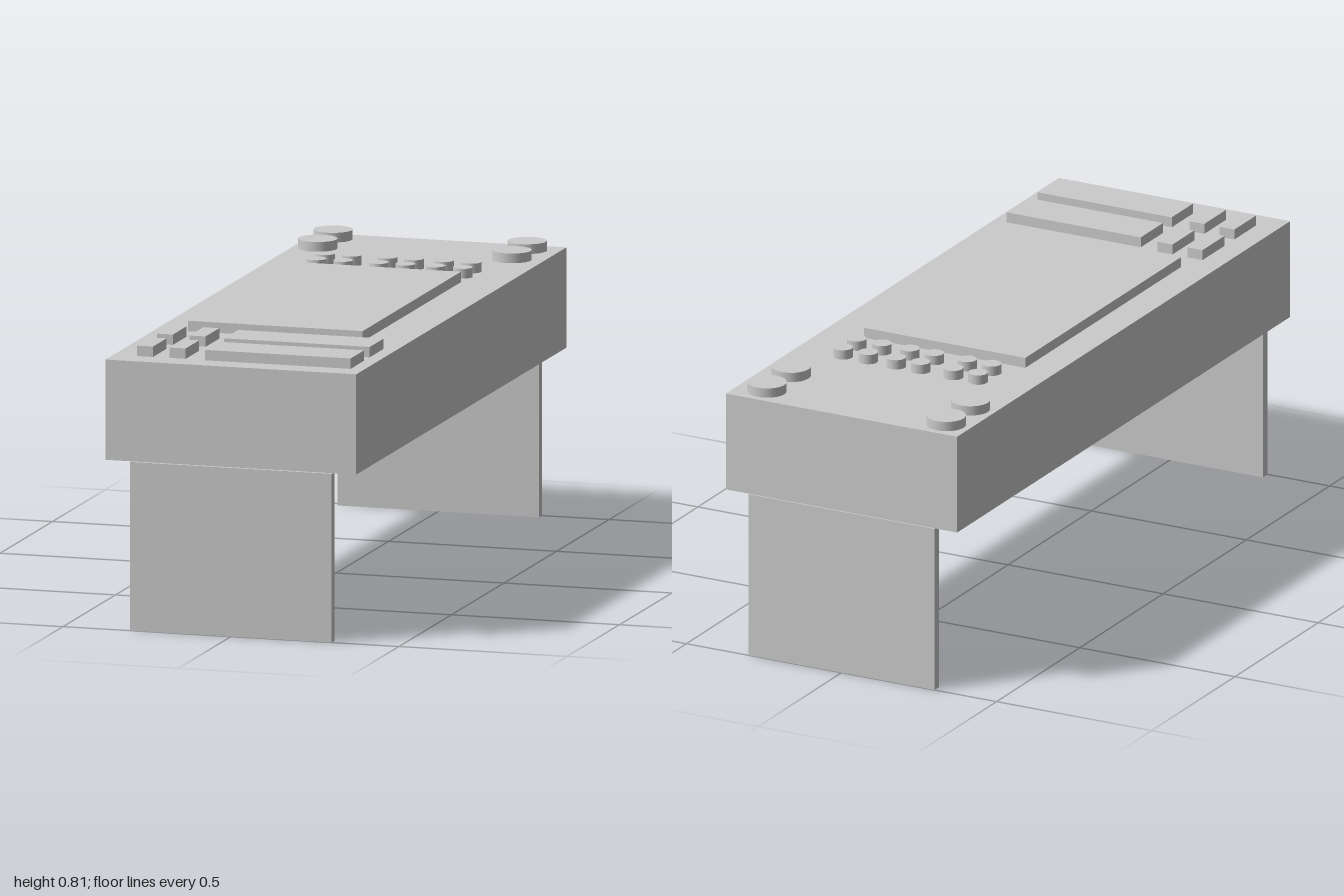
import * as THREE from 'three';

export function createModel() {
  const model = new THREE.Group();
  const material = new THREE.MeshStandardMaterial({ color: 0xcccccc, flatShading: true });
  const smooth = new THREE.MeshStandardMaterial({ color: 0xcccccc });
  const deck = 0.78;

  // Box given by its extents on each axis
  function box(name, [x0, x1], [y0, y1], [z0, z1]) {
    const mesh = new THREE.Mesh(new THREE.BoxGeometry(x1 - x0, y1 - y0, z1 - z0), material);
    mesh.position.set((x0 + x1) / 2, (y0 + y1) / 2, (z0 + z1) / 2);
    mesh.name = name;
    model.add(mesh);
  }

  // Round control standing on the deck
  function disc(name, x, z, radius, height) {
    const mesh = new THREE.Mesh(new THREE.CylinderGeometry(radius, radius, height, 32), smooth);
    mesh.position.set(x, deck + height / 2, z);
    mesh.name = name;
    model.add(mesh);
  }

  // Body and the two end legs
  box('body', [-0.373, 0.373], [0.49, deck], [-1, 1]);
  box('frontLeg', [-0.3, 0.3], [0, 0.488], [0.972, 1]);
  box('backLeg', [-0.3, 0.3], [0, 0.488], [-1, -0.972]);

  // Large raised panel
  box('topPanel', [-0.277, 0.243], [deck, 0.81], [-0.412, 0.523]);

  // Wide bars and small keys near the front
  const top = [deck, 0.81];
  box('wideBar', [-0.1, 0.333], top, [0.611, 0.744]);
  box('wideBar', [-0.1, 0.333], top, [0.797, 0.926]);
  for (const x of [-0.304, -0.207]) {
    box('smallKey', [x, x + 0.048], top, [0.602, 0.733]);
    box('smallKey', [x, x + 0.048], top, [0.793, 0.922]);
  }

  // Large knobs at the back corners
  for (const x of [-0.298, 0.28])
    for (const z of [-0.925, -0.78]) disc('largeKnob', x, z, 0.056, 0.028);

  // Two rows of small knobs, grouped in pairs
  for (const x of [-0.211, -0.132, -0.026, 0.053, 0.143, 0.224])
    for (const z of [-0.573, -0.491]) disc('smallKnob', x, z, 0.028, 0.028);

  return model;
}
